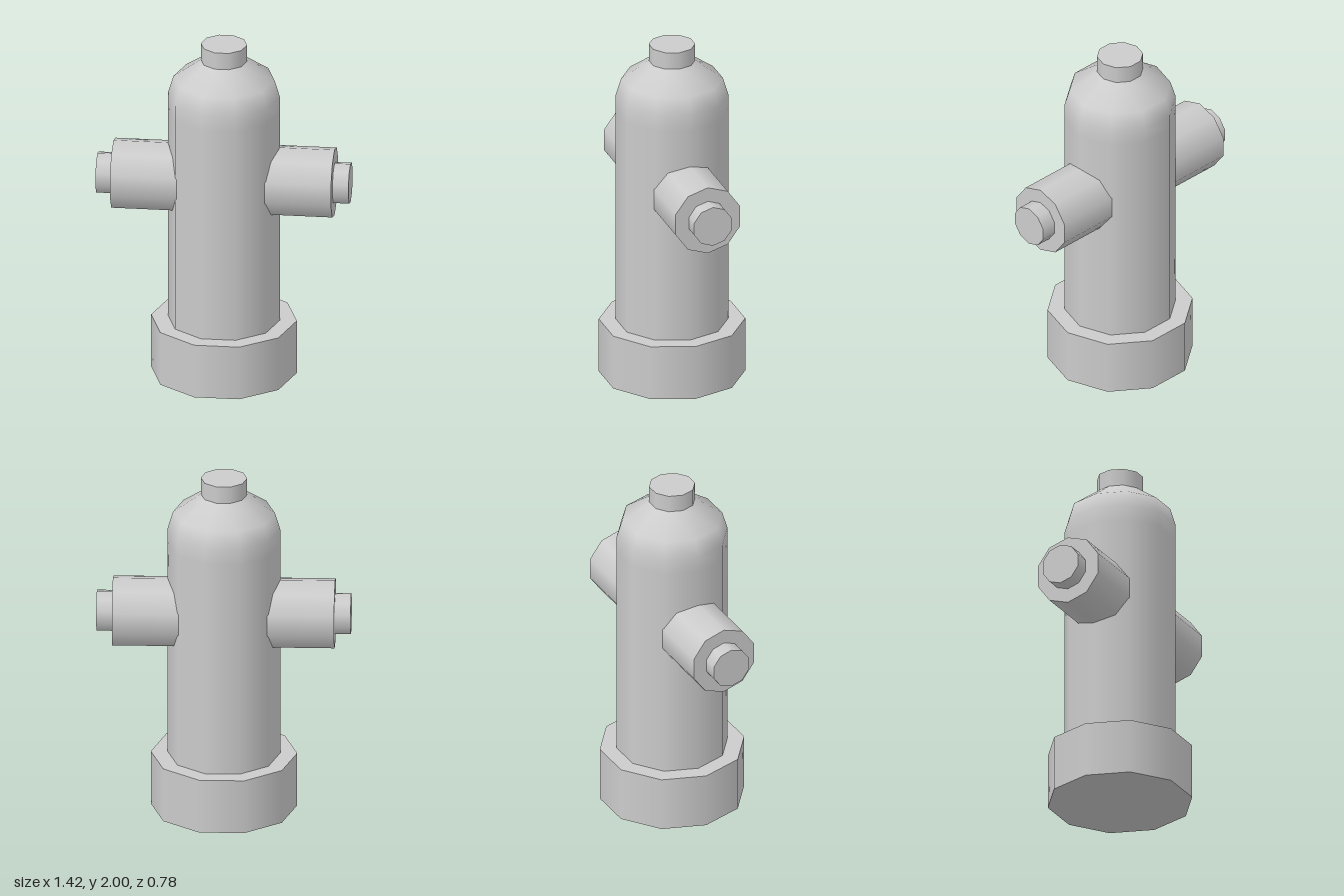
import * as THREE from 'three';

const SIDES = 10;
const material = new THREE.MeshStandardMaterial({ color: 0xcccccc });

// Ten-sided prism along y from y0 to y1, with a corner on the x axis
function prism(name, radius, y0, y1) {
  const geometry = new THREE.CylinderGeometry(radius, radius, y1 - y0, SIDES, 1, false, Math.PI / 2);
  geometry.translate(0, (y0 + y1) / 2, 0);
  const mesh = new THREE.Mesh(geometry, material);
  mesh.name = name;
  return mesh;
}

export function createModel() {
  const model = new THREE.Group();
  model.name = 'hydrant';

  // Wide foot and small top cap
  model.add(prism('base', 0.41, 0, 0.32));
  model.add(prism('topCap', 0.13, 1.86, 2));

  // Barrel with a rounded shoulder
  const profile = [[0.315, 0.3], [0.315, 1.6], [0.315, 1.69], [0.285, 1.79], [0.13, 1.9]]
    .map(([r, y]) => new THREE.Vector2(r, y));
  const barrel = new THREE.Mesh(new THREE.LatheGeometry(profile, SIDES, Math.PI / 2), material);
  barrel.name = 'barrel';
  model.add(barrel);

  // Side outlets, each with a smaller end cap
  for (const [side, sign] of [['left', 1], ['right', -1]]) {
    const outlet = new THREE.Group();
    outlet.name = side + 'Outlet';
    outlet.add(prism(side + 'Nozzle', 0.2, 0.2, 0.622));
    outlet.add(prism(side + 'NozzleCap', 0.117, 0.6, 0.712));
    outlet.rotation.z = -sign * Math.PI / 2;
    outlet.position.y = 1.18;
    model.add(outlet);
  }

  return model;
}
